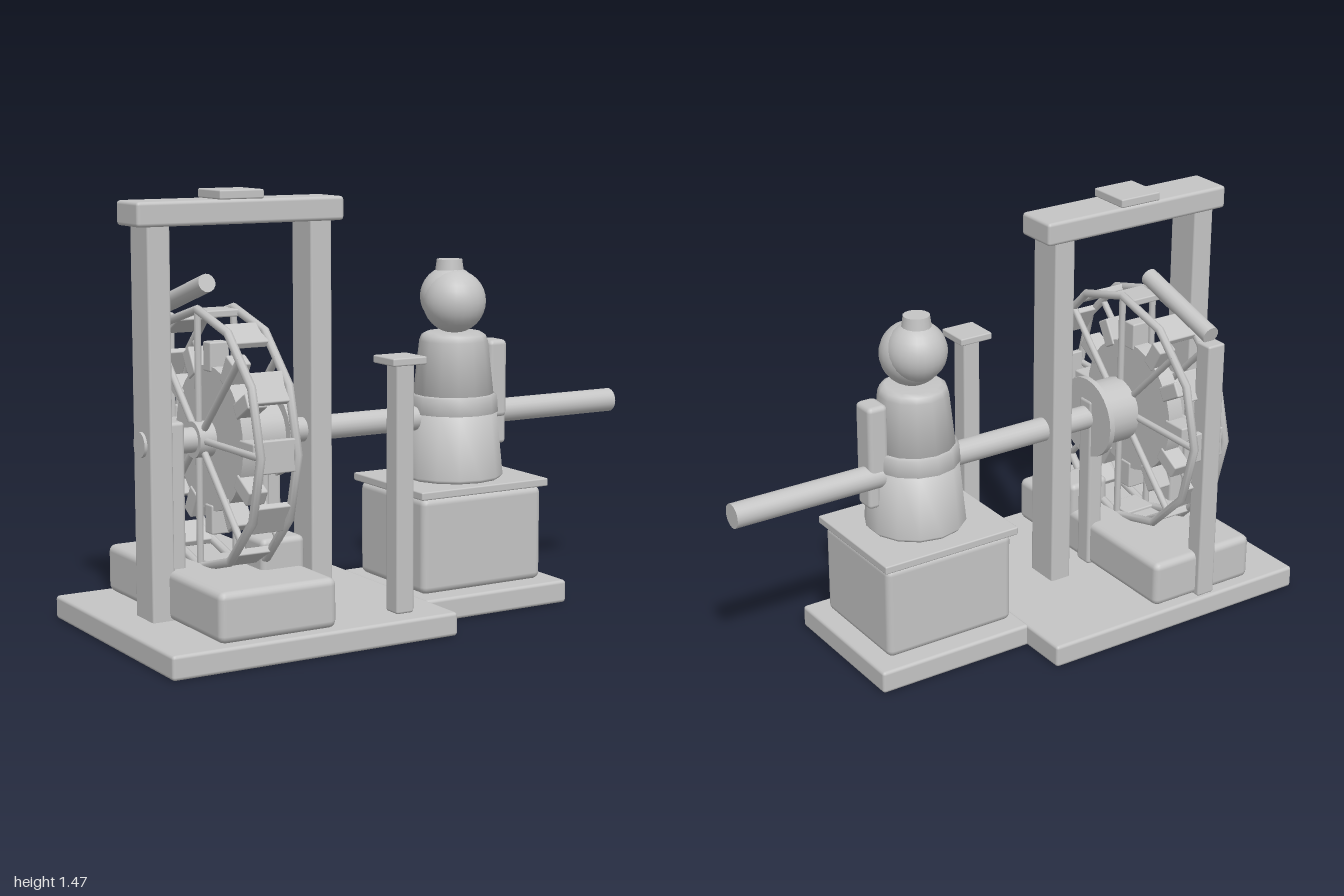
import * as THREE from 'three';
import { RoundedBoxGeometry } from 'three/addons/geometries/RoundedBoxGeometry.js';

const stone = new THREE.MeshStandardMaterial({ color: 0xc4c4c4 });
stone.name = 'plain grey';

export function createModel() {
  const model = new THREE.Group();
  model.name = 'waterWheelMachine';

  function add(name, geometry, x = 0, y = 0, z = 0, parent = model) {
    const mesh = new THREE.Mesh(geometry, stone);
    mesh.name = name;
    mesh.position.set(x, y, z);
    parent.add(mesh);
    return mesh;
  }
  // Softly rounded box given by its extents
  function block(name, x0, x1, y0, y1, z0, z1, r = 0.012, parent = model) {
    const w = x1 - x0, h = y1 - y0, d = z1 - z0;
    return add(name, new RoundedBoxGeometry(w, h, d, 2, Math.min(r, w / 3, h / 3, d / 3)),
      (x0 + x1) / 2, (y0 + y1) / 2, (z0 + z1) / 2, parent);
  }
  // Cylinder lying along x
  function shaft(name, x0, x1, r, y, sides = 24, parent = model) {
    const g = new THREE.CylinderGeometry(r, r, x1 - x0, sides).rotateZ(Math.PI / 2);
    return add(name, g, (x0 + x1) / 2, y, 0, parent);
  }

  // Bases
  block('mainBase', -1, 0.04, 0, 0.08, -0.455, 0.455);
  block('figureBase', 0.03, 0.615, 0, 0.08, -0.275, 0.275);

  // Overhead frame
  for (const x of [-0.84, -0.25]) block('framePost', x - 0.04, x + 0.04, 0.07, 1.37, -0.065, 0.065, 0.008);
  block('frameBeam', -0.92, -0.17, 1.355, 1.435, -0.08, 0.08);
  block('beamCap', -0.63, -0.47, 1.435, 1.465, -0.08, 0.08, 0.005);

  // Trough, step and bearings
  block('trough', -0.82, -0.4, 0.08, 0.245, -0.423, 0.423, 0.025);
  block('step', -0.56, -0.4, 0.2, 0.345, 0.08, 0.213, 0.02);
  block('leftBearing', -0.81, -0.75, 0.08, 0.725, -0.05, 0.05);
  block('rightBearing', -0.45, -0.39, 0.08, 0.725, -0.035, 0.035);
  add('regulatorRod', new THREE.CylinderGeometry(0.013, 0.013, 0.32, 10), -0.487, 0.5, 0.1);

  // Axle, drum and flange
  const axleY = 0.655;
  shaft('axle', -0.89, 1, 0.042, axleY);
  shaft('drum', -0.54, -0.4, 0.115, axleY);
  shaft('drumFlange', -0.415, -0.395, 0.145, axleY);

  // Water wheel
  const wheel = new THREE.Group();
  wheel.name = 'waterWheel';
  wheel.position.set(-0.61, axleY, 0);
  model.add(wheel);
  shaft('wheelHub', -0.09, 0.08, 0.06, 0, 24, wheel);
  shaft('gearDisc', -0.03, 0.03, 0.24, 0, 32, wheel);
  for (const x of [-0.066, 0.066]) {
    add('rim', new THREE.TorusGeometry(0.425, 0.015, 8, 12).rotateY(Math.PI / 2), x, 0, 0, wheel);
    for (let i = 0; i < 8; i++) {
      const spoke = new THREE.CylinderGeometry(0.012, 0.012, 0.39, 8).translate(0, 0.225, 0);
      add('spoke', spoke, x, 0, 0, wheel).rotation.x = i * Math.PI / 4;
    }
  }
  for (let i = 0; i < 12; i++) {
    const sector = new THREE.Group();
    sector.name = 'wheelSector';
    sector.rotation.x = i * Math.PI / 6;
    wheel.add(sector);
    block('paddle', -0.06, 0.06, 0.4, 0.424, -0.053, 0.053, 0.005, sector);
    block('gearTooth', -0.035, 0.035, 0.22, 0.318, -0.027, 0.027, 0.006, sector);
  }

  // Water pipe on its rear post
  block('pipePost', -0.645, -0.575, 0.08, 1.03, -0.442, -0.373, 0.008);
  const pipe = new THREE.CylinderGeometry(0.031, 0.031, 0.36, 16).rotateX(Math.PI / 2);
  add('waterPipe', pipe, -0.61, 1.105, -0.232).rotation.x = -0.295;

  // Small table on a tall post
  block('tablePost', -0.152, -0.085, 0.08, 0.907, 0.31, 0.38, 0.008);
  block('tableTop', -0.183, -0.055, 0.904, 0.93, 0.28, 0.408, 0.005);

  // Pedestal
  block('pedestal', 0.06, 0.552, 0.08, 0.412, -0.21, 0.21, 0.025);
  block('pedestalTop', 0.045, 0.567, 0.412, 0.44, -0.225, 0.225, 0.005);

  // Standing figure
  const figure = new THREE.Group();
  figure.name = 'figure';
  figure.position.set(0.308, 0, 0.013);
  model.add(figure);
  const lathe = (name, pts) => add(name,
    new THREE.LatheGeometry(pts.map(([r, y]) => new THREE.Vector2(r, y)), 14), 0, 0, 0, figure);
  lathe('skirt', [[0, 0.44], [0.165, 0.44], [0.175, 0.452], [0.152, 0.68], [0, 0.69]]);
  lathe('torso', [[0, 0.66], [0.148, 0.67], [0.12, 0.92], [0.112, 0.94], [0.095, 0.95], [0, 0.95]]);
  lathe('belt', [[0.14, 0.668], [0.157, 0.672], [0.153, 0.73], [0.138, 0.737]]);
  add('head', new THREE.SphereGeometry(0.11, 24, 16), 0, 1.056, 0.004, figure);
  add('hair', new THREE.SphereGeometry(0.104, 24, 16), 0, 1.072, -0.025, figure);
  add('topKnot', new THREE.CylinderGeometry(0.045, 0.052, 0.05, 16), 0, 1.175, -0.028, figure);
  block('upperArm', 0.43, 0.505, 0.64, 0.915, -0.032, 0.062, 0.018);
  block('hand', 0.46, 0.505, 0.545, 0.68, -0.022, 0.055, 0.014);

  return model;
}
